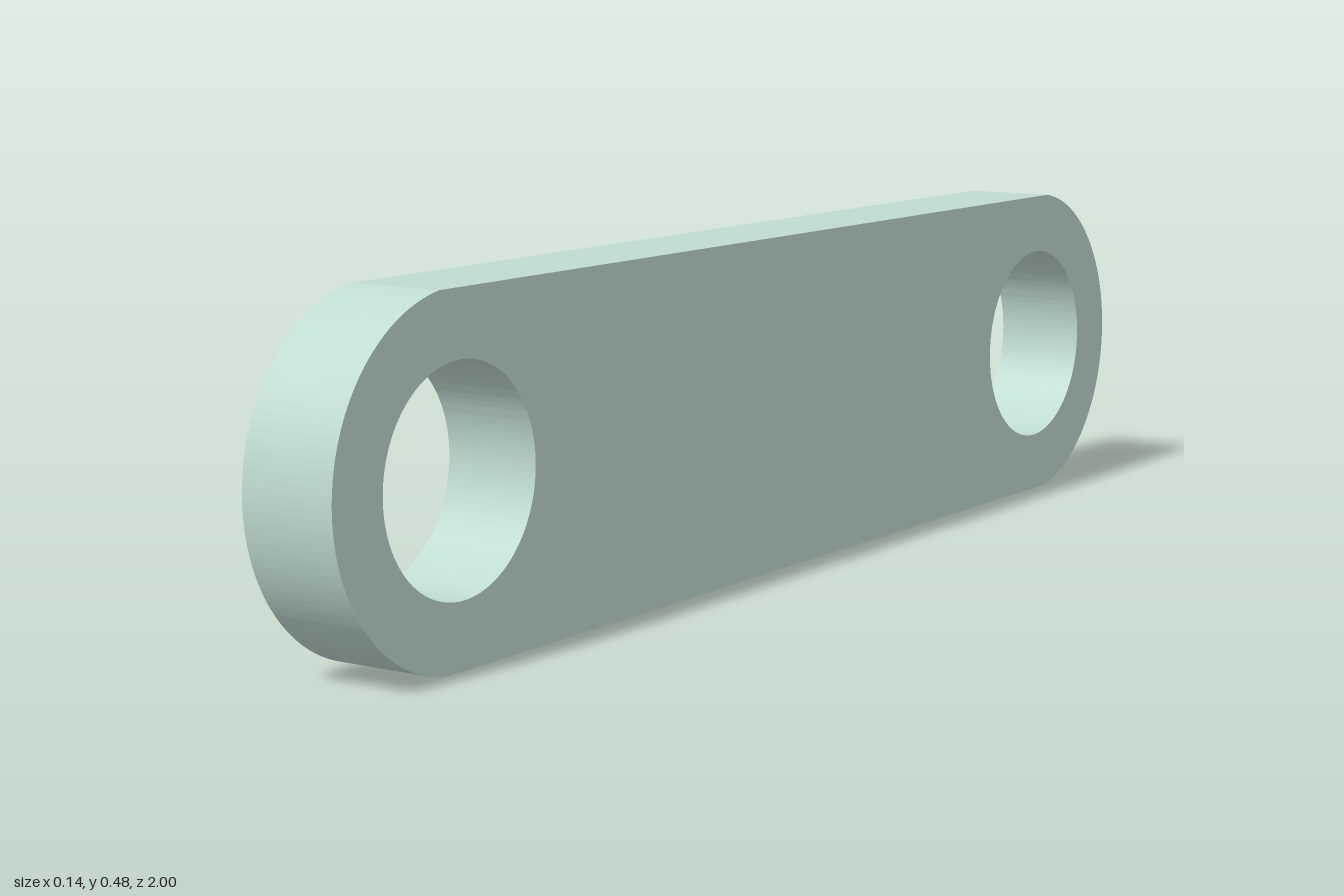
import * as THREE from 'three';
import { toCreasedNormals } from 'three/addons/utils/BufferGeometryUtils.js';

const HALF_HEIGHT = 0.242;
const THICKNESS = 0.141;
const HOLE_OFFSET = 0.755; // distance of each hole from the middle
const HOLE_RADIUS = 0.152;
const END_RADIUS = 0.245; // slightly larger than the half height

export function createModel() {
  const group = new THREE.Group();
  group.name = 'linkPlate';

  // Outline: two rounded ends joined by straight edges
  const sweep = Math.asin(HALF_HEIGHT / END_RADIUS);
  const outline = new THREE.Shape();
  outline.absarc(HOLE_OFFSET, 0, END_RADIUS, -sweep, sweep, false);
  outline.absarc(-HOLE_OFFSET, 0, END_RADIUS, Math.PI - sweep, Math.PI + sweep, false);
  outline.closePath();

  // Pin hole near each end
  for (const side of [-1, 1]) {
    const hole = new THREE.Path();
    hole.absarc(side * HOLE_OFFSET, 0, HOLE_RADIUS, 0, Math.PI * 2, true);
    outline.holes.push(hole);
  }

  // Extrude, then turn the long side along z and stand it on the ground
  const extruded = new THREE.ExtrudeGeometry(outline, {
    depth: THICKNESS, bevelEnabled: false, curveSegments: 96,
  });
  extruded.translate(0, 0, -THICKNESS / 2);
  extruded.rotateY(-Math.PI / 2);
  extruded.translate(0, HALF_HEIGHT, 0);

  const plate = new THREE.Mesh(
    toCreasedNormals(extruded, 0.1),
    new THREE.MeshStandardMaterial({ color: 0xbfdbd0 }),
  );
  plate.name = 'plate';
  group.add(plate);
  return group;
}
